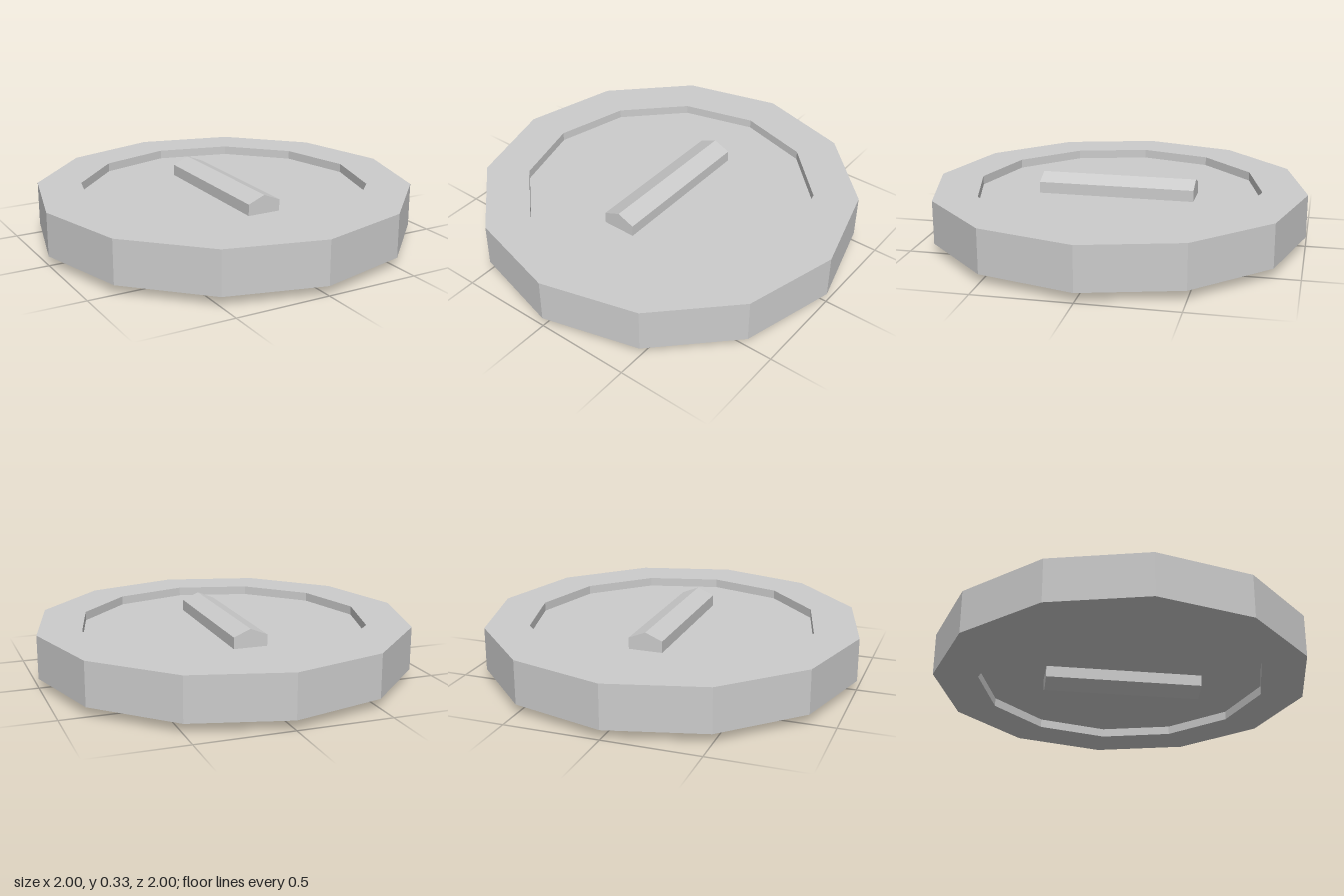
import * as THREE from 'three';

const SIDES = 12;
const MID = 0.17;          // height of the disc's mid-plane
const INNER = 0.765;       // radius of the recess
const HALF_RIM = 0.115;    // half thickness of the rim
const HALF_PLATE = 0.068;  // half thickness of the recessed plate

export function createModel() {
  const group = new THREE.Group();
  const material = new THREE.MeshStandardMaterial({ color: 0xcccccc, flatShading: true });

  const add = (name, geometry) => {
    const mesh = new THREE.Mesh(geometry, material);
    mesh.name = name;
    mesh.position.y = MID;
    group.add(mesh);
  };

  // Raised twelve-sided rim: bottom, outer wall, top and the two recess walls
  const rimProfile = [
    [INNER, -HALF_PLATE], [INNER, -HALF_RIM], [1, -HALF_RIM],
    [1, HALF_RIM], [INNER, HALF_RIM], [INNER, HALF_PLATE],
  ].map(([r, y]) => new THREE.Vector2(r, y));
  add('rim', new THREE.LatheGeometry(rimProfile, SIDES));

  // Recessed plate, closed on both faces
  add('plate', new THREE.CylinderGeometry(INNER, INNER, HALF_PLATE * 2, SIDES));

  // Ridged bar standing out on both faces, with a six-sided section
  const section = new THREE.Shape([
    [0.09, -0.128], [0.09, 0.128], [0, 0.165],
    [-0.09, 0.128], [-0.09, -0.128], [0, -0.165],
  ].map(([x, y]) => new THREE.Vector2(x, y)));
  const length = 0.83;
  const bar = new THREE.ExtrudeGeometry(section, { depth: length, bevelEnabled: false });
  bar.translate(0, 0, -length / 2);
  add('ridgedBar', bar);

  // Stand the lower ridge on the ground
  group.children.forEach((mesh) => { mesh.position.y = 0.165; });
  return group;
}
